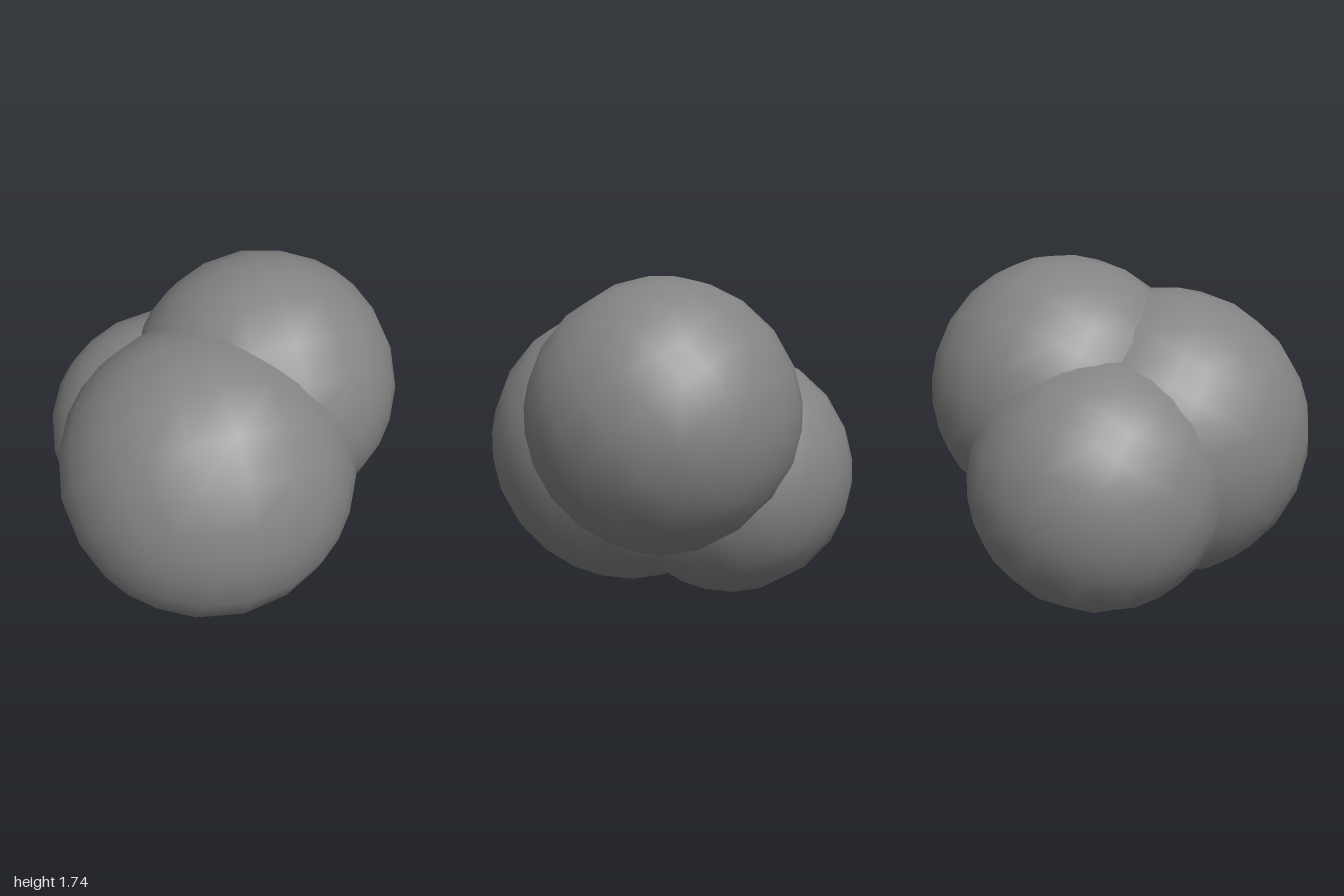
import * as THREE from 'three';

// Ball made by inflating a 6 x 6 x 6 box grid, with smooth radial normals
function ballGeometry(radius) {
  const geometry = new THREE.BoxGeometry(1, 1, 1, 6, 6, 6);
  const position = geometry.attributes.position;
  const normal = geometry.attributes.normal;
  const v = new THREE.Vector3();
  for (let i = 0; i < position.count; i++) {
    v.fromBufferAttribute(position, i).normalize();
    normal.setXYZ(i, v.x, v.y, v.z);
    position.setXYZ(i, v.x * radius, v.y * radius, v.z * radius);
  }
  return geometry;
}

export function createModel() {
  const group = new THREE.Group();
  group.name = 'ballCluster';
  const material = new THREE.MeshStandardMaterial({ color: 0x848484 });

  // Three overlapping balls: name, radius, centre
  const balls = [
    ['frontBall', 0.776, [-0.184, 0.803, 0.227]],
    ['upperBall', 0.713, [0.244, 1.031, -0.112]],
    ['rearBall', 0.667, [-0.22, 0.665, -0.336]],
  ];
  for (const [name, radius, centre] of balls) {
    const ball = new THREE.Mesh(ballGeometry(radius), material);
    ball.name = name;
    ball.position.set(...centre);
    ball.rotation.x = 0.7; // all grids share one tilt
    group.add(ball);
  }
  return group;
}
